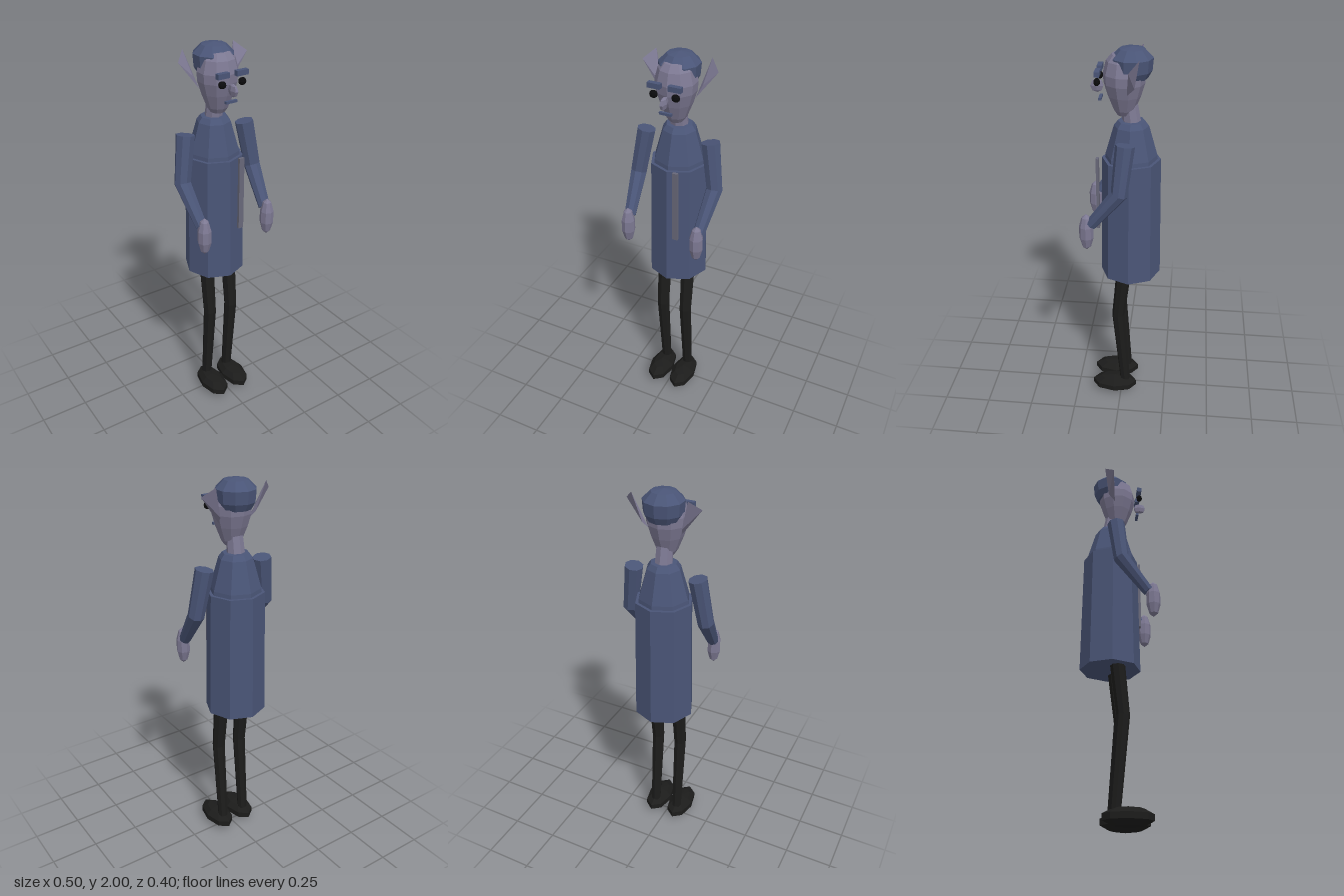
import * as THREE from 'three';
import { ConvexGeometry } from 'three/addons/geometries/ConvexGeometry.js';

const V = (x, y, z) => new THREE.Vector3(x, y, z);

export function createModel() {
  const model = new THREE.Group();
  const mat = (name, color, double) => new THREE.MeshStandardMaterial({
    name, color, flatShading: true, side: double ? THREE.DoubleSide : THREE.FrontSide });
  const blue = mat('blue cloth', 0x4a5577);
  const skin = mat('lilac skin', 0x7d7993);
  const black = mat('black leather', 0x1c1c1b);
  const eyeBlack = mat('eye black', 0x0b0b0d);
  const grey = mat('grey trim', 0x686879);

  const add = (name, geometry, material, x = 0, y = 0, z = 0) => {
    const mesh = new THREE.Mesh(geometry, material);
    mesh.name = name;
    mesh.position.set(x, y, z);
    model.add(mesh);
    return mesh;
  };
  // Lathe from [radius, height] pairs, bottom to top
  const lathe = (pairs, sides) =>
    new THREE.LatheGeometry(pairs.map(([r, y]) => new THREE.Vector2(r, y)), sides);
  const ellipsoid = (rx, ry, rz, w, h) => new THREE.SphereGeometry(1, w, h).scale(rx, ry, rz);

  // Bent limb: the rings of a cylinder are placed on points listed from top to bottom
  const limb = (points, radii, sides) => {
    const n = points.length - 1;
    const geo = new THREE.CylinderGeometry(1, 1, 1, sides, n);
    const pos = geo.attributes.position;
    const frames = points.map((p, i) => new THREE.Quaternion().setFromUnitVectors(V(0, 1, 0),
      points[Math.max(i - 1, 0)].clone().sub(points[Math.min(i + 1, n)]).normalize()));
    for (let k = 0; k < pos.count; k++) {
      const i = Math.round((0.5 - pos.getY(k)) * n);
      const v = V(pos.getX(k) * radii[i], 0, pos.getZ(k) * radii[i]);
      v.applyQuaternion(frames[i]).add(points[i]);
      pos.setXYZ(k, v.x, v.y, v.z);
    }
    geo.computeVertexNormals();
    return geo;
  };

  // Coat and shoulders
  add('coat', new THREE.CylinderGeometry(0.146, 0.157, 0.65, 8), blue, 0, 1.125, -0.045);
  add('upperBody', lathe([[0, 1.43], [0.132, 1.43], [0.128, 1.47], [0.085, 1.62], [0.066, 1.645], [0, 1.65]], 8),
    blue, 0, 0, -0.045);
  add('coatStrip', new THREE.BoxGeometry(0.028, 0.385, 0.014), grey, 0.054, 1.2725, 0.117);

  // Neck and head
  add('neck', limb([V(0, 1.75, -0.03), V(0, 1.61, -0.05)], [0.04, 0.046], 8), skin);
  add('head', lathe([[0, 1.668], [0.035, 1.675], [0.052, 1.7], [0.08, 1.77], [0.098, 1.83], [0.101, 1.875],
    [0.085, 1.935], [0.06, 1.965], [0, 1.975]], 10), skin, 0, 0, -0.01);
  add('cap', lathe([[0, 1.85], [0.075, 1.855], [0.095, 1.89], [0.1, 1.95], [0.06, 1.99], [0, 2]], 10),
    blue, 0, 0, -0.045);

  // Face
  add('nose', ellipsoid(0.015, 0.032, 0.036, 6, 4), skin, 0, 1.812, 0.119);
  add('mouth', new THREE.BoxGeometry(0.062, 0.012, 0.014), blue, 0, 1.755, 0.103);

  for (const s of [1, -1]) {
    const side = s > 0 ? 'left' : 'right';
    add(side + 'Eye', ellipsoid(0.021, 0.018, 0.016, 8, 6), eyeBlack, s * 0.055, 1.845, 0.112);
    add(side + 'Eyebrow', new THREE.BoxGeometry(0.063, 0.025, 0.024), blue, s * 0.0515, 1.887, 0.11);

    // Pointed base, flaring outward and up
    add(side + 'Ear', new ConvexGeometry([V(s * 0.088, 1.795, -0.03), V(s * 0.1, 1.83, -0.065),
      V(s * 0.14, 1.975, -0.09), V(s * 0.19, 1.93, -0.045), V(s * 0.12, 1.86, -0.035)]), skin);

    // Arm and hand
    add(side + 'Arm', limb([V(s * 0.17, 1.585, -0.03), V(s * 0.207, 1.35, -0.005), V(s * 0.19, 1.17, 0.135)],
      [0.047, 0.042, 0.03], 8), blue);
    add(side + 'Hand', ellipsoid(0.036, 0.1, 0.038, 8, 5), skin, s * 0.188, 1.125, 0.16);

    // Leg and shoe
    add(side + 'Leg', limb([V(s * 0.068, 0.83, -0.015), V(s * 0.068, 0.54, 0.015), V(s * 0.068, 0.06, -0.025)],
      [0.039, 0.034, 0.027], 8), black);
    add(side + 'Shoe', ellipsoid(0.07, 0.05, 0.13, 8, 5), black, s * 0.069, 0.05, 0.037);
  }
  return model;
}
